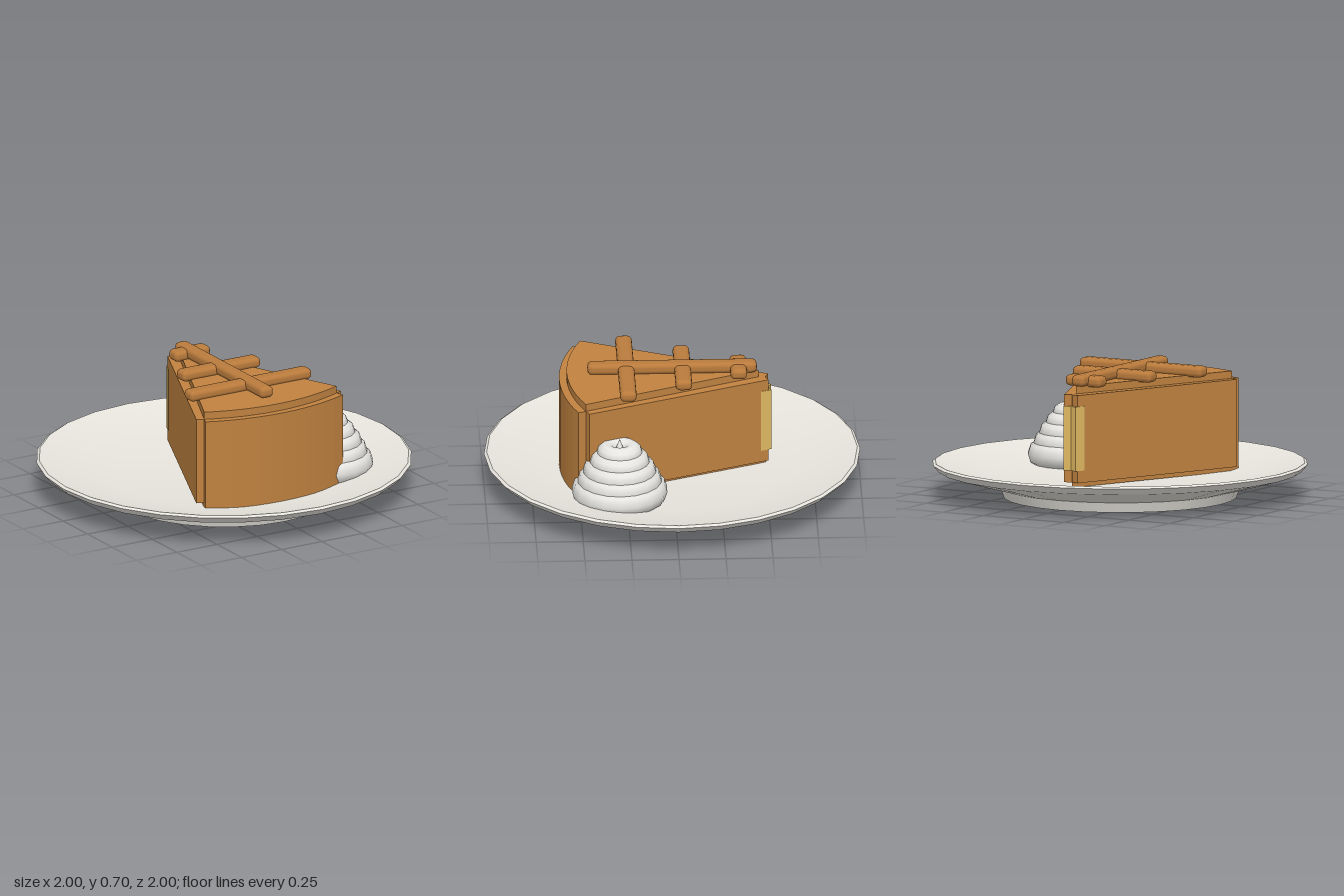
import * as THREE from 'three';
import { RoundedBoxGeometry } from 'three/addons/geometries/RoundedBoxGeometry.js';

const mat = (name, color, side = THREE.FrontSide) => {
  const m = new THREE.MeshStandardMaterial({ color, side });
  m.name = name;
  return m;
};

export function createModel() {
  const china = mat('china', 0xe8e5de, THREE.DoubleSide);
  const cream = mat('cream', 0xecebe7);
  const crust = mat('crust', 0xc08240);
  const lattice = mat('lattice crust', 0xba7b3c);
  const filling = mat('filling', 0xdfb861);

  const root = new THREE.Group();
  root.name = 'pieSliceOnPlate';
  const add = (parent, name, geometry, material, x = 0, y = 0, z = 0) => {
    const mesh = new THREE.Mesh(geometry, material);
    mesh.name = name;
    mesh.position.set(x, y, z);
    parent.add(mesh);
    return mesh;
  };
  const group = (name) => {
    const g = new THREE.Group();
    g.name = name;
    root.add(g);
    return g;
  };

  // Plate: separate lathed bands keep the creases sharp
  const plate = group('plate');
  const bands = {
    plateBase: [[0, 0.025], [0.55, 0.025]],
    footInside: [[0.55, 0.025], [0.575, 0]],
    footBottom: [[0.575, 0], [0.62, 0]],
    footOutside: [[0.62, 0], [0.64, 0.055]],
    plateUnderside: [[0.64, 0.055], [0.97, 0.145]],
    plateRim: [[0.97, 0.145], [1, 0.18]],
    plateLip: [[1, 0.18], [0.985, 0.19]],
    plateTop: [[0.985, 0.19], [0.62, 0.11], [0, 0.1]],
  };
  for (const [name, pts] of Object.entries(bands)) {
    const profile = pts.map(([r, y]) => new THREE.Vector2(r, y));
    add(plate, name, new THREE.LatheGeometry(profile, 28), china);
  }

  // Pie wedges: apex at the back, curved crust at the front
  const slice = group('pieSlice');
  const ANGLE = 0.4, APEX = -0.5;
  const wedge = (radius, angle, apex, height) => {
    const shape = new THREE.Shape();
    shape.moveTo(0, -apex);
    const n = 12;
    for (let i = 0; i <= n; i++) {
      const a = -angle + (2 * angle * i) / n;
      shape.lineTo(radius * Math.sin(a), -apex - radius * Math.cos(a));
    }
    return new THREE.ExtrudeGeometry(shape, { depth: height, bevelEnabled: false }).rotateX(-Math.PI / 2);
  };
  add(slice, 'crustBody', wedge(1.1, ANGLE, APEX, 0.498), crust, 0, 0.107, 0);
  add(slice, 'topCrust', wedge(1.02, 0.415, -0.46, 0.04), crust, 0, 0.605, 0);

  // Slabs along both cut faces, with filling showing at the tip
  const slab = (name, side, from, to, thick, y0, y1, material) => {
    const mid = (from + to) / 2;
    const s = Math.sin(ANGLE), c = Math.cos(ANGLE);
    const mesh = add(slice, name, new THREE.BoxGeometry(thick, y1 - y0, to - from), material,
      side * (s * mid + c * thick / 2), (y0 + y1) / 2, APEX + c * mid - s * thick / 2);
    mesh.rotation.y = side * ANGLE;
  };
  for (const side of [-1, 1]) {
    slab('cutSide', side, 0.005, 1.055, 0.042, 0.135, 0.605, crust);
    slab('fillingTip', side, -0.01, 0.05, 0.045, 0.2, 0.545, filling);
  }

  // Lattice strips
  const strips = group('lattice');
  add(strips, 'longStrip', new RoundedBoxGeometry(0.08, 0.062, 0.9, 2, 0.025), lattice, 0, 0.672, 0);
  for (const [z, w] of [[0.245, 0.755], [-0.055, 0.485], [-0.352, 0.22]])
    add(strips, 'crossStrip', new RoundedBoxGeometry(w, 0.06, 0.088, 2, 0.025), lattice, 0, 0.664, z);

  // Whipped cream: shrinking stacked rings with a small peak
  const dollop = group('whippedCream');
  dollop.position.set(0.45, 0, 0.295);
  const rings = [[0.18, 0.076, 0.165], [0.155, 0.07, 0.222], [0.13, 0.065, 0.277], [0.1, 0.06, 0.33], [0.07, 0.052, 0.382]];
  for (const [r, tube, y] of rings)
    add(dollop, 'creamRing', new THREE.TorusGeometry(r, tube, 10, 18).rotateX(Math.PI / 2), cream, 0, y, 0);
  add(dollop, 'creamPeak', new THREE.ConeGeometry(0.026, 0.07, 10), cream, 0, 0.425, 0);

  return root;
}
